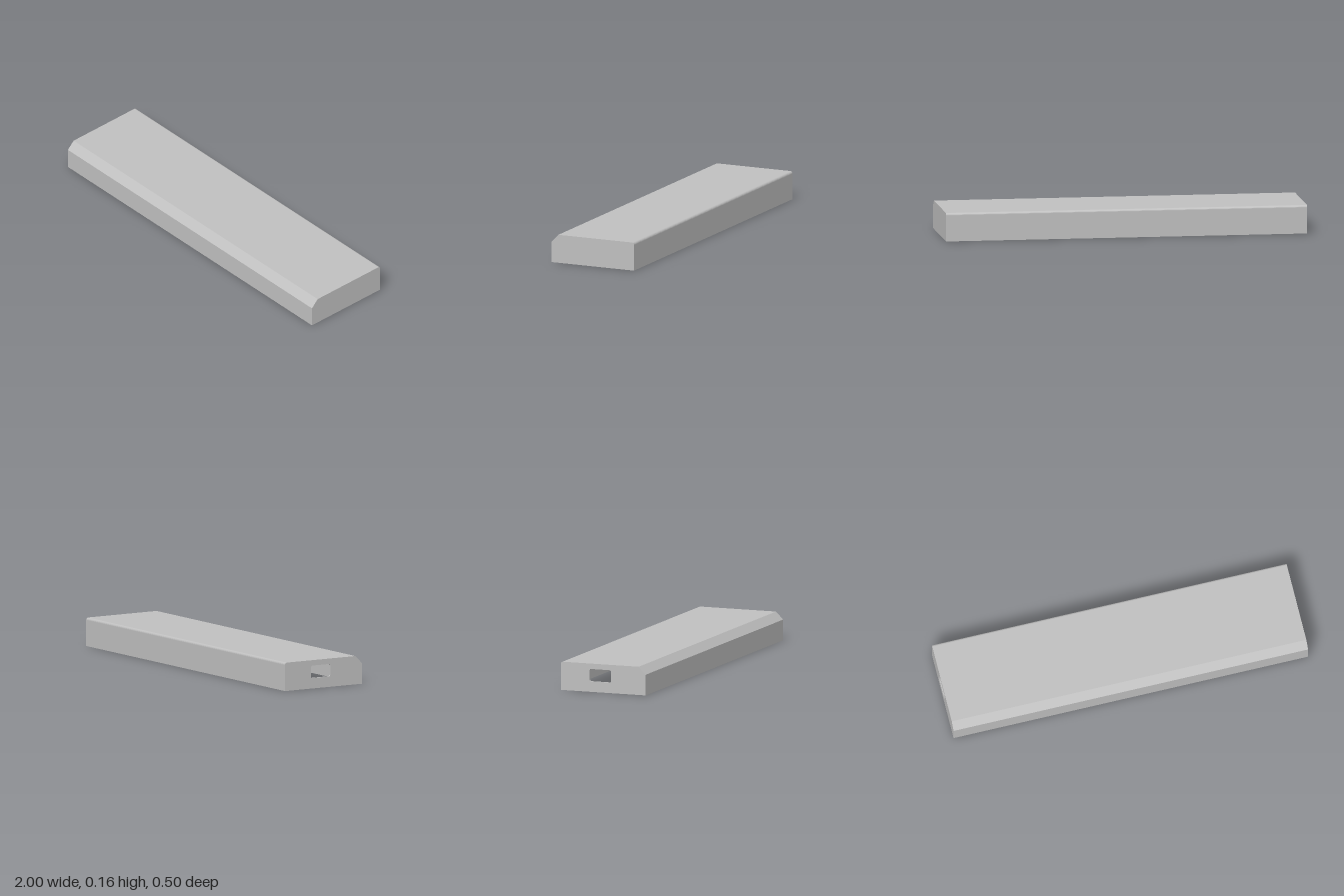
import * as THREE from 'three';

const HALF_DEPTH = 0.251, HEIGHT = 0.157, WALL = 0.01;
const CHAMFER = 0.042, ROUND = 0.013;

// Cross-section points (u runs towards the back), from front foot to back foot
function sectionPoints(inset, foot) {
  const d = HALF_DEPTH - inset, h = HEIGHT - inset;
  const c = CHAMFER - inset * 0.59;
  const r = Math.max(ROUND - inset, 0.003);
  const pts = [[-d, foot], [-d, h - c], [-d + c, h]];
  const steps = 8;
  for (let i = 0; i <= steps; i++) {
    const a = Math.PI / 2 * (1 - i / steps);
    pts.push([d - r + r * Math.cos(a), h - r + r * Math.sin(a)]);
  }
  pts.push([d, foot]);
  return pts.map(([u, y]) => new THREE.Vector2(u, y));
}

// Rounded rectangular opening
function roundedHole(u0, u1, y0, y1, r) {
  const p = new THREE.Path();
  p.absarc(u0 + r, y0 + r, r, Math.PI, Math.PI * 1.5);
  p.absarc(u1 - r, y0 + r, r, Math.PI * 1.5, Math.PI * 2);
  p.absarc(u1 - r, y1 - r, r, 0, Math.PI / 2);
  p.absarc(u0 + r, y1 - r, r, Math.PI / 2, Math.PI);
  p.closePath();
  return p;
}

export function createModel() {
  const group = new THREE.Group();
  const grey = new THREE.MeshStandardMaterial({ color: 0xbfbfbf });
  grey.name = 'grey plastic';

  const extrudeAlongX = (name, shape, x0, x1) => {
    const geo = new THREE.ExtrudeGeometry(shape, { depth: x1 - x0, bevelEnabled: false, curveSegments: 5 });
    geo.rotateY(Math.PI / 2);
    geo.translate(x0, 0, 0);
    const mesh = new THREE.Mesh(geo, grey);
    mesh.name = name;
    group.add(mesh);
  };

  // Long shell, open underneath
  const shell = new THREE.Shape([...sectionPoints(0, 0), ...sectionPoints(WALL, 0).reverse()]);
  extrudeAlongX('shell', shell, -1 + WALL, 1 - WALL);

  // End walls, one with a socket opening
  extrudeAlongX('closedEndWall', new THREE.Shape(sectionPoints(0, 0)), 1 - WALL, 1);
  const socketWall = new THREE.Shape(sectionPoints(0, 0));
  socketWall.holes.push(roundedHole(-0.045, 0.081, 0.058, 0.127, 0.009));
  extrudeAlongX('socketEndWall', socketWall, -1, -1 + WALL);

  // Mounting pegs under the ceiling, in two sets of four
  const pegHeight = 0.018;
  const pegGeo = new THREE.CylinderGeometry(0.013, 0.013, pegHeight, 16);
  for (const [xs, zs] of [[[-0.965, -0.58], [0.13, -0.16]], [[-0.43, 0.04], [-0.02, -0.18]]]) {
    for (const x of xs) for (const z of zs) {
      const peg = new THREE.Mesh(pegGeo, grey);
      peg.name = 'mountingPeg';
      peg.position.set(x, HEIGHT - WALL - pegHeight / 2 + 0.001, z);
      group.add(peg);
    }
  }
  return group;
}
